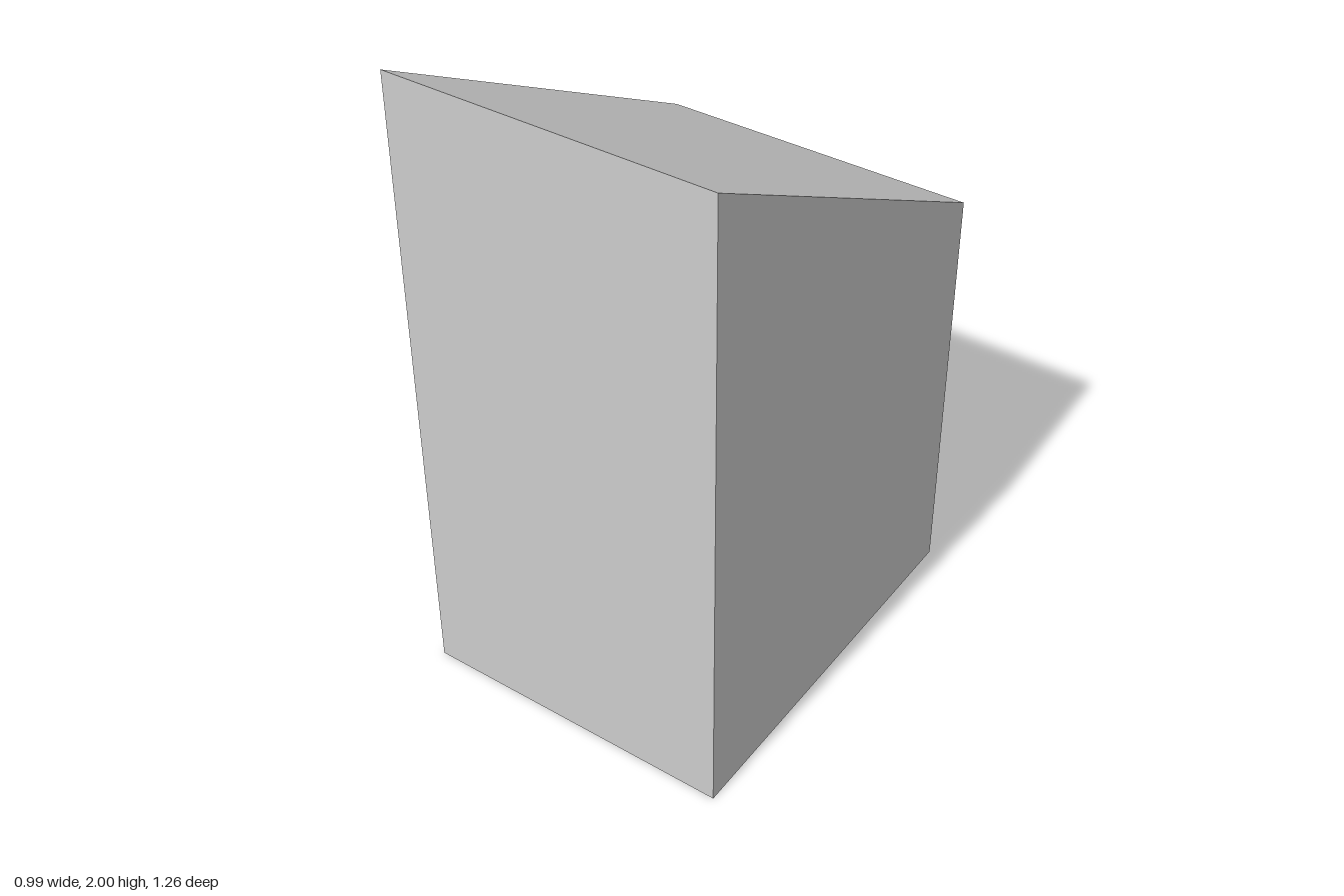
import * as THREE from 'three';

const W = 0.497, FRONT = 0.628, BACK = -0.615, HIGH = 2, LOW = 1.333;
const DOOR = { x: 0.145, y: 0.547, z: -0.563 };
const FRAME = { x: 0.165, y: 0.57, depth: 0.014 };
const WINDOW_Y = [0.725, 1.18], WINDOW_Z = BACK + 0.022;
const WINDOWS = [[-0.467, -0.19], [-0.12, 0.12], [0.19, 0.467]];

const material = new THREE.MeshStandardMaterial({ color: 0xcccccc, flatShading: true });

function add(parent, name, geometry) {
  const mesh = new THREE.Mesh(geometry, material);
  mesh.name = name;
  parent.add(mesh);
  return mesh;
}

// Flat four-cornered panels, corners counter-clockwise seen from outside
function quads(...list) {
  const positions = [], index = [];
  list.forEach((corners, i) => {
    positions.push(...corners.flat());
    index.push(...[0, 1, 2, 0, 2, 3].map((k) => k + i * 4));
  });
  const g = new THREE.BufferGeometry();
  g.setAttribute('position', new THREE.Float32BufferAttribute(positions, 3));
  g.setIndex(index);
  g.computeVertexNormals();
  return g;
}

function polygon(points) {
  return new THREE.Shape(points.map(([x, y]) => new THREE.Vector2(x, y)));
}

// Pane set back into the rear wall, with its reveals
function recess(x0, x1, y0, y1, z, sill) {
  const b = BACK;
  const faces = [
    [[x1, y0, z], [x0, y0, z], [x0, y1, z], [x1, y1, z]],
    [[x1, y0, b], [x1, y0, z], [x1, y1, z], [x1, y1, b]],
    [[x0, y0, z], [x0, y0, b], [x0, y1, b], [x0, y1, z]],
    [[x0, y1, b], [x1, y1, b], [x1, y1, z], [x0, y1, z]],
  ];
  if (sill) faces.push([[x0, y0, z], [x1, y0, z], [x1, y0, b], [x0, y0, b]]);
  return quads(...faces);
}

export function createModel() {
  const house = new THREE.Group();
  house.name = 'house';

  // Plain walls and the sloping roof
  add(house, 'frontWall', quads([[-W, 0, FRONT], [W, 0, FRONT], [W, HIGH, FRONT], [-W, HIGH, FRONT]]));
  add(house, 'leftWall', quads([[W, 0, FRONT], [W, 0, BACK], [W, LOW, BACK], [W, HIGH, FRONT]]));
  add(house, 'rightWall', quads([[-W, 0, BACK], [-W, 0, FRONT], [-W, HIGH, FRONT], [-W, LOW, BACK]]));
  add(house, 'roof', quads([[-W, HIGH, FRONT], [W, HIGH, FRONT], [W, LOW, BACK], [-W, LOW, BACK]]));

  // Floor, notched at the doorway
  const floor = polygon([
    [-W, BACK], [-DOOR.x, BACK], [-DOOR.x, DOOR.z], [DOOR.x, DOOR.z],
    [DOOR.x, BACK], [W, BACK], [W, FRONT], [-W, FRONT],
  ]);
  add(house, 'floor', new THREE.ShapeGeometry(floor).rotateX(Math.PI / 2));

  // Rear wall with door and window openings
  const wall = polygon([
    [-W, 0], [-DOOR.x, 0], [-DOOR.x, DOOR.y], [DOOR.x, DOOR.y],
    [DOOR.x, 0], [W, 0], [W, LOW], [-W, LOW],
  ]);
  const [y0, y1] = WINDOW_Y;
  for (const [x0, x1] of WINDOWS) {
    wall.holes.push(polygon([[x0, y0], [x0, y1], [x1, y1], [x1, y0]]));
    add(house, 'window', recess(x0, x1, y0, y1, WINDOW_Z, true));
  }
  add(house, 'rearWall', new THREE.ShapeGeometry(wall).rotateY(Math.PI).translate(0, 0, BACK));

  // Door and its raised surround
  add(house, 'door', recess(-DOOR.x, DOOR.x, 0, DOOR.y, DOOR.z, false));
  const surround = polygon([
    [-FRAME.x, 0], [-DOOR.x, 0], [-DOOR.x, DOOR.y], [DOOR.x, DOOR.y],
    [DOOR.x, 0], [FRAME.x, 0], [FRAME.x, FRAME.y], [-FRAME.x, FRAME.y],
  ]);
  add(house, 'doorFrame', new THREE.ExtrudeGeometry(surround, { depth: FRAME.depth, bevelEnabled: false })
    .translate(0, 0, BACK - FRAME.depth));

  return house;
}
